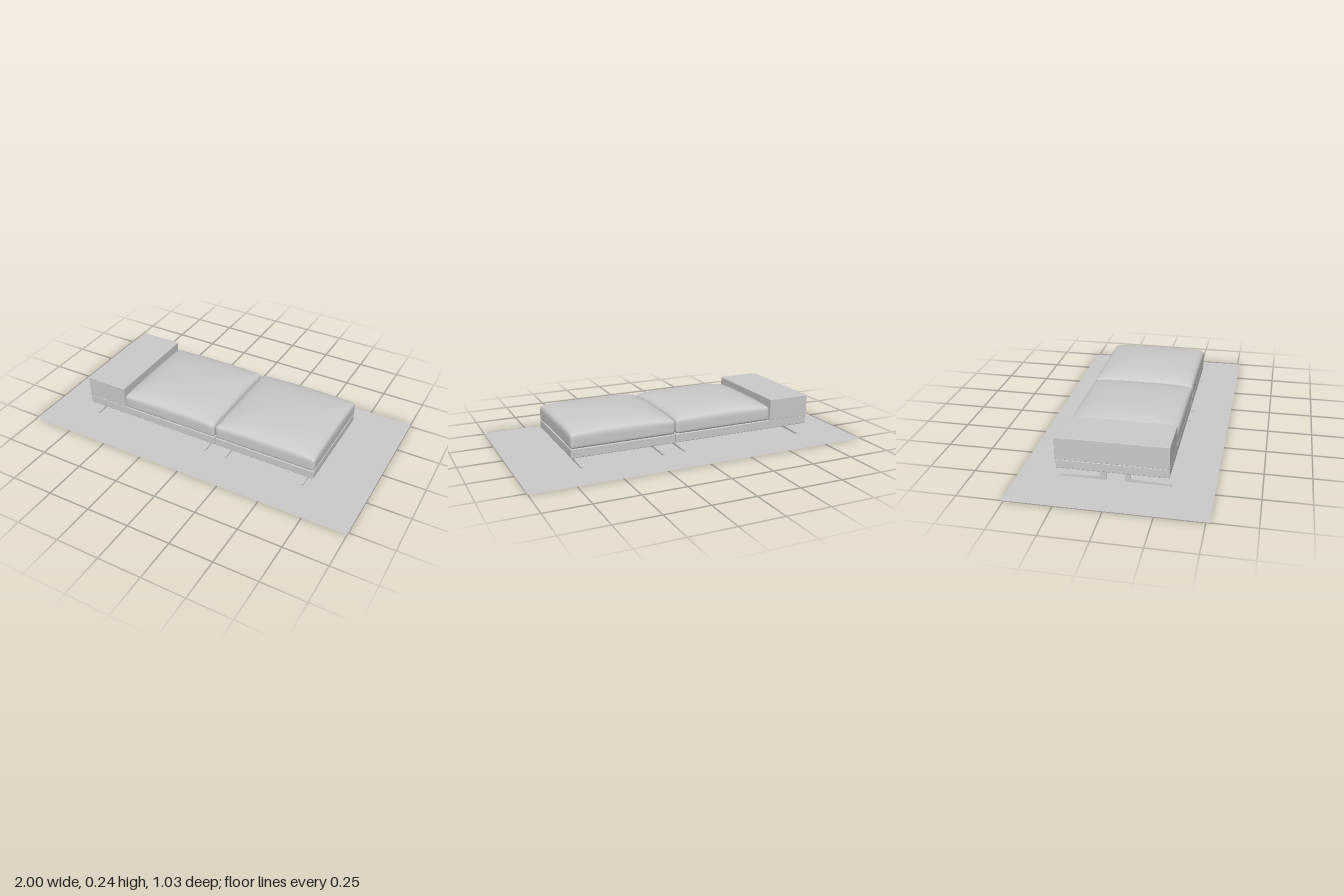
import * as THREE from 'three';
import { mergeVertices } from 'three/addons/utils/BufferGeometryUtils.js';
import { RoundedBoxGeometry } from 'three/addons/geometries/RoundedBoxGeometry.js';

const grey = new THREE.MeshStandardMaterial({ color: 0xcccccc });
const greyDouble = new THREE.MeshStandardMaterial({ color: 0xcccccc, side: THREE.DoubleSide });

// Box given by its limits, with softly rounded edges
function block(name, x0, x1, y0, y1, z0, z1, radius) {
  const mesh = new THREE.Mesh(new RoundedBoxGeometry(x1 - x0, y1 - y0, z1 - z0, 2, radius), grey);
  mesh.position.set((x0 + x1) / 2, (y0 + y1) / 2, (z0 + z1) / 2);
  mesh.name = name;
  return mesh;
}

// Cushion: box with rounded edges and a crowned top
function cushionGeometry(width, height, depth, crown) {
  let geo = new THREE.BoxGeometry(2, 2, 2, 28, 12, 28);
  geo.deleteAttribute('uv');
  geo.deleteAttribute('normal');
  geo = mergeVertices(geo);
  const half = new THREE.Vector3(width / 2, height / 2, depth / 2);
  const radius = 0.016;
  const inner = half.clone().subScalar(radius);
  const pos = geo.attributes.position;
  const p = new THREE.Vector3(), core = new THREE.Vector3();
  const bend = (u) => Math.sqrt(Math.max(0, 1 - Math.pow(Math.abs(u), 2.5)));
  const ease = (u) => Math.sin(u * Math.PI / 2); // packs vertices near the edges
  for (let i = 0; i < pos.count; i++) {
    p.fromBufferAttribute(pos, i);
    p.set(ease(p.x), ease(p.y), ease(p.z)).multiply(half);
    core.copy(p).clamp(inner.clone().negate(), inner);
    p.sub(core).setLength(radius).add(core);
    const rise = (p.y + half.y) / height;
    p.y += crown * rise * bend(p.x / half.x) * bend(p.z / half.z);
    pos.setXYZ(i, p.x, p.y, p.z);
  }
  geo.computeVertexNormals();
  return geo;
}

// L-shaped blade leg with a tapering foot
function legGeometry(thickness) {
  const profile = [[0.05, 0], [0.293, 0], [0.293, 0.009], [0.09, 0.018],
    [0.08, 0.022], [0.077, 0.03], [0.077, 0.07], [0.05, 0.07]];
  const shape = new THREE.Shape(profile.map(([a, b]) => new THREE.Vector2(a, b)));
  const geo = new THREE.ExtrudeGeometry(shape, { depth: thickness, bevelEnabled: false });
  geo.translate(0, 0, -thickness / 2);
  return geo;
}

export function createModel() {
  const model = new THREE.Group();
  model.name = 'modularDaybed';

  // Rug
  const rug = new THREE.Mesh(new THREE.PlaneGeometry(2, 1.034), greyDouble);
  rug.rotation.x = -Math.PI / 2;
  rug.name = 'rug';
  model.add(rug);

  // Bases and side table block
  model.add(block('longBase', -0.75, 0.104, 0.068, 0.117, -0.304, 0.288, 0.004));
  model.add(block('shortBase', 0.109, 0.71, 0.068, 0.117, -0.304, 0.288, 0.004));
  model.add(block('sideBlock', -0.75, -0.499, 0.117, 0.243, -0.309, 0.288, 0.003));

  // Seat cushions
  const cushion = cushionGeometry(0.602, 0.078, 0.596, 0.046);
  [['middleCushion', -0.197], ['endCushion', 0.41]].forEach(([name, x]) => {
    const mesh = new THREE.Mesh(cushion, grey);
    mesh.position.set(x, 0.156, -0.008);
    mesh.name = name;
    model.add(mesh);
  });

  // Legs, a front and back blade at each station
  const leg = legGeometry(0.012);
  [-0.705, 0.042, 0.175, 0.65].forEach((x) => {
    for (const side of [1, -1]) {
      const mesh = new THREE.Mesh(leg, grey);
      mesh.rotation.y = -side * Math.PI / 2;
      mesh.position.x = x;
      mesh.name = side > 0 ? 'frontLeg' : 'backLeg';
      model.add(mesh);
    }
  });
  return model;
}
